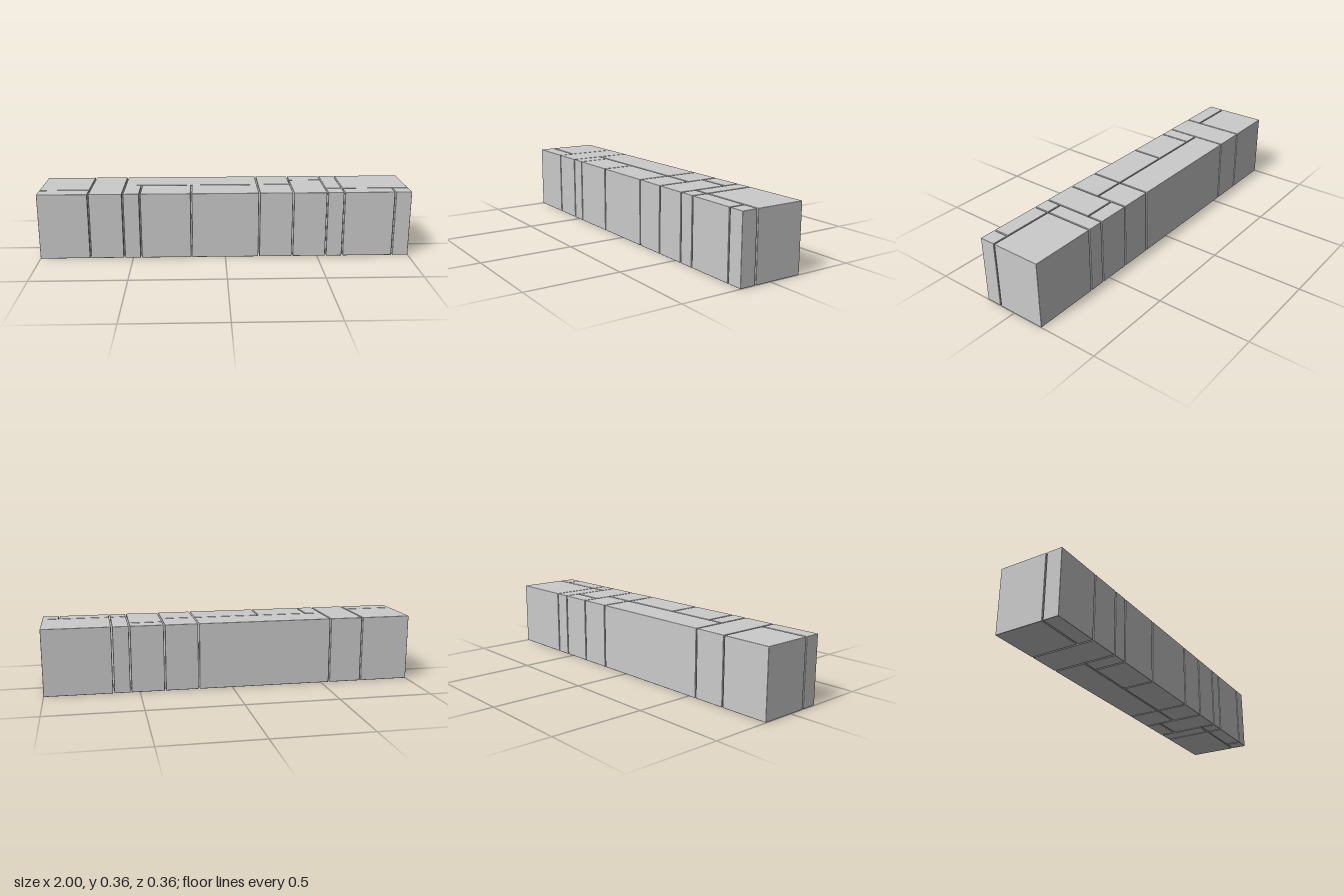
import * as THREE from 'three';
import { RoundedBoxGeometry } from 'three/addons/geometries/RoundedBoxGeometry.js';

const UNIT = 0.0912;   // layout module
const GAP = 0.0064;    // open joint between neighbouring blocks
const BEVEL = 0.003;   // softened block edges
const HEIGHT = 4 * UNIT - GAP;

// Each block in modules: [x start, x end, z start, z end]; the wall is 22 long and 4 deep.
const LAYOUT = [
  [0, 3, -2, 1], [0, 3, 1, 2],
  [3, 5, -2, 2],
  [5, 13, -2, 0], [5, 6, 0, 2], [6, 9, 0, 2], [9, 13, 0, 2],
  [13, 15, -2, 0], [13, 15, 0, 2],
  [15, 17, -2, -1], [15, 17, -1, 2],
  [17, 18, -2, 1], [17, 18, 1, 2],
  [18, 22, -2, 1], [18, 21, 1, 2], [21, 22, 1, 2],
];

export function createModel() {
  const wall = new THREE.Group();
  wall.name = 'blockWall';
  const material = new THREE.MeshStandardMaterial({ color: 0xcccccc });

  LAYOUT.forEach(([x0, x1, z0, z1], i) => {
    const width = (x1 - x0) * UNIT - GAP;
    const depth = (z1 - z0) * UNIT - GAP;
    const block = new THREE.Mesh(new RoundedBoxGeometry(width, HEIGHT, depth, 2, BEVEL), material);
    block.name = `block${i + 1}`;
    block.position.set(((x0 + x1) / 2 - 11) * UNIT, HEIGHT / 2, ((z0 + z1) / 2) * UNIT);
    wall.add(block);
  });
  return wall;
}
